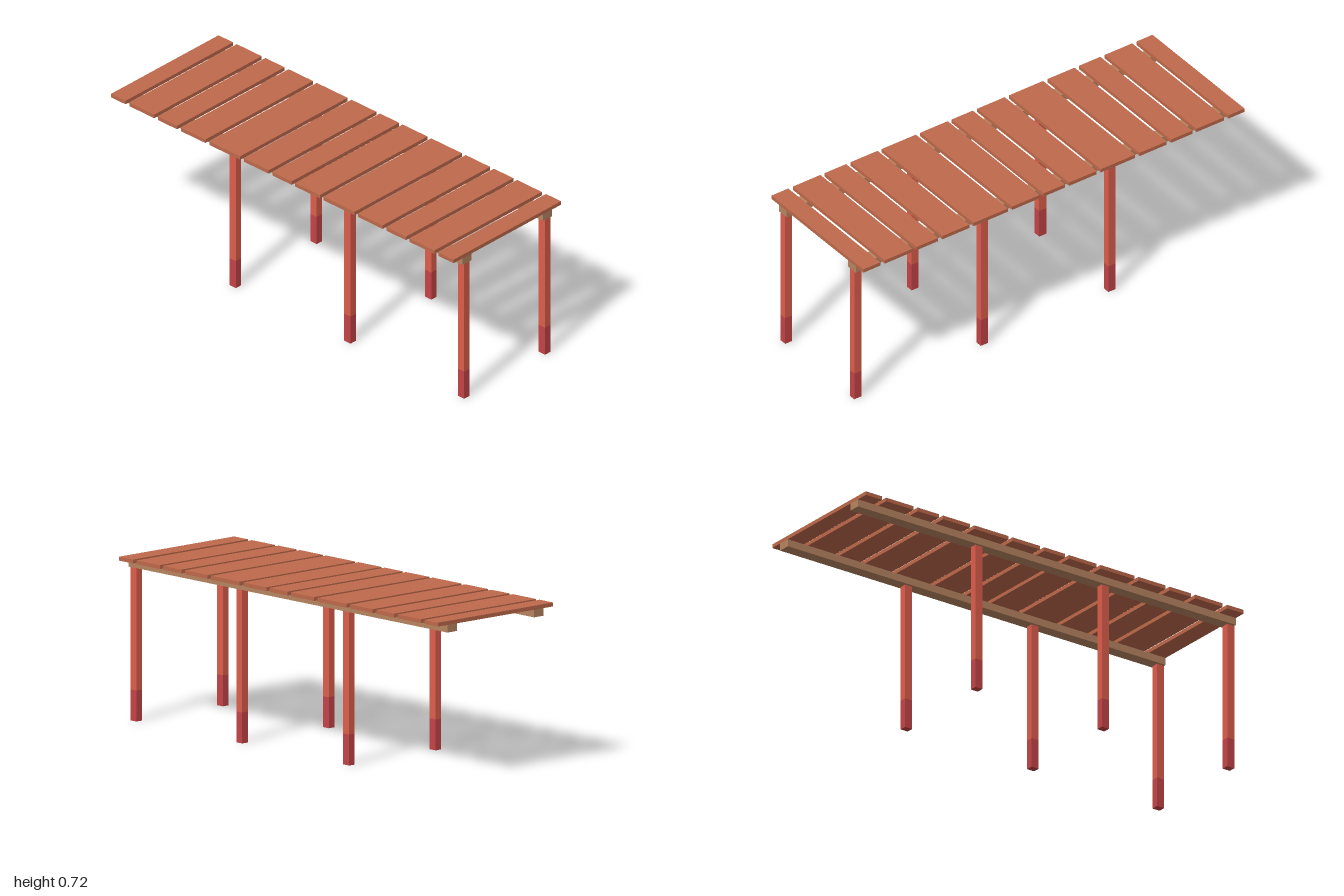
import * as THREE from 'three';

const material = (color) => new THREE.MeshStandardMaterial({ color, flatShading: true });

export function createModel() {
  const pier = new THREE.Group();
  pier.name = 'pier';
  const plankMat = material(0xbf694b);
  const beamMat = material(0xb88561);
  const postMat = material(0xde5e4c);
  const baseMat = material(0xc44447);

  // Box given by its lower and upper limits on each axis
  function addBox(name, mat, [x0, x1], [y0, y1], [z0, z1]) {
    const mesh = new THREE.Mesh(new THREE.BoxGeometry(x1 - x0, y1 - y0, z1 - z0), mat);
    mesh.position.set((x0 + x1) / 2, (y0 + y1) / 2, (z0 + z1) / 2);
    mesh.name = name;
    pier.add(mesh);
  }

  // Deck planks of varied width, back to front
  const planks = [
    [-1, -0.915], [-0.893, -0.748], [-0.726, -0.614], [-0.591, -0.449], [-0.426, -0.246],
    [-0.224, -0.079], [-0.057, 0.055], [0.075, 0.22], [0.242, 0.422], [0.443, 0.586],
    [0.608, 0.722], [0.743, 0.888], [0.912, 1],
  ];
  planks.forEach((z, i) => addBox(`plank${i + 1}`, plankMat, [-0.333, 0.333], [0.7, 0.717], z));

  for (const [side, x] of [['left', 0.25], ['right', -0.25]]) {
    // Long beam under the deck
    addBox(`${side}Beam`, beamMat, [x - 0.0275, x + 0.0275], [0.667, 0.7], [-1, 1]);

    // Posts with a darker lower part
    [['front', 0.9815], ['middle', 0.3175], ['rear', -0.352]].forEach(([place, z]) => {
      const xs = [x - 0.0163, x + 0.0163];
      const zs = [z - 0.0185, z + 0.0185];
      addBox(`${place}${side}PostBase`, baseMat, xs, [0, 0.134], zs);
      addBox(`${place}${side}Post`, postMat, xs, [0.134, 0.667], zs);
    });
  }
  return pier;
}
